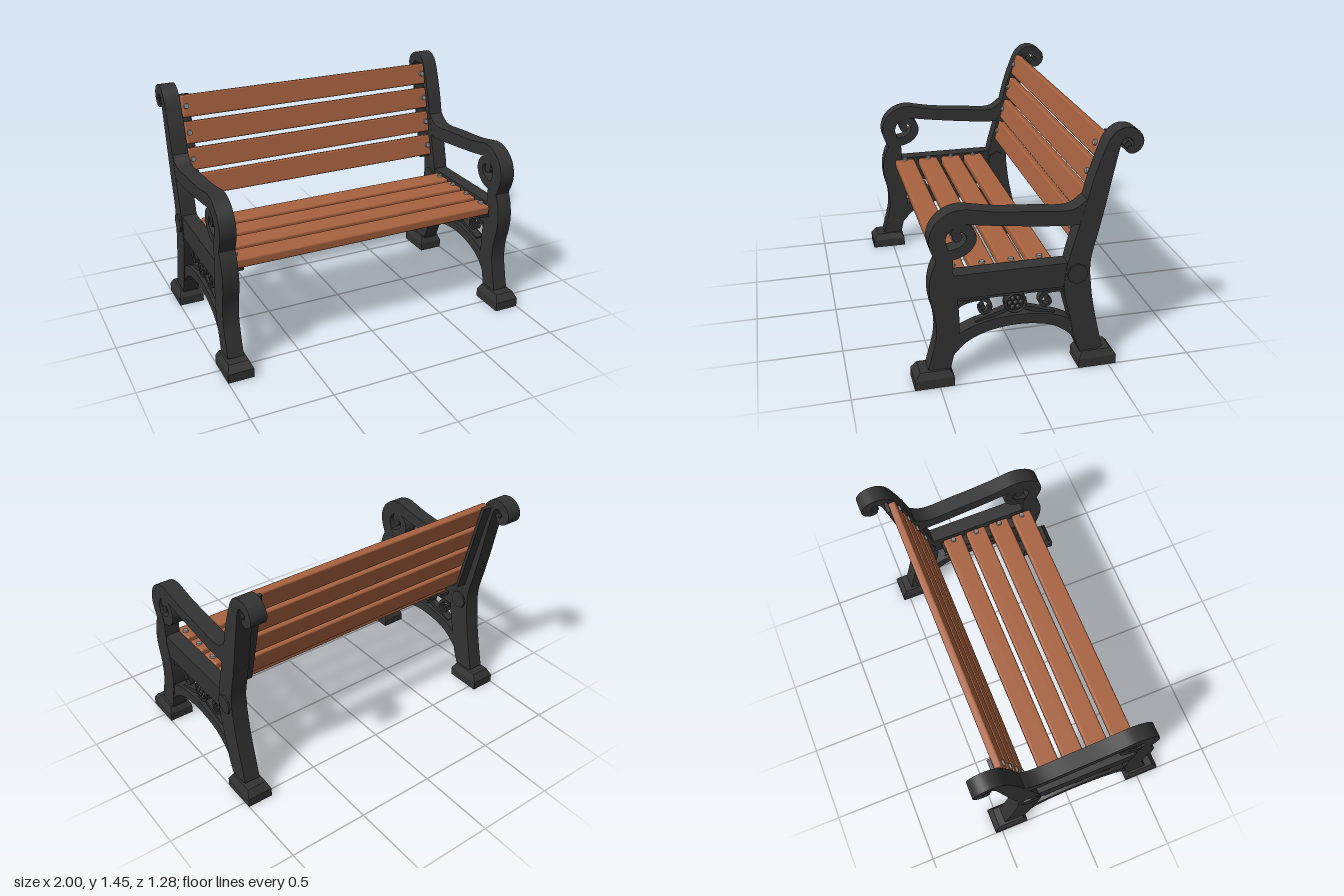
import * as THREE from 'three';
import { toCreasedNormals } from 'three/addons/utils/BufferGeometryUtils.js';
import { RoundedBoxGeometry } from 'three/addons/geometries/RoundedBoxGeometry.js';

const iron = new THREE.MeshStandardMaterial({ color: 0x333333 });
iron.name = 'cast iron';
const wood = new THREE.MeshStandardMaterial({ color: 0xa8623f });
wood.name = 'oiled wood';
const steel = new THREE.MeshStandardMaterial({ color: 0x8c8f92 });
steel.name = 'steel bolt';

function add(parent, name, geometry, material, x = 0, y = 0, z = 0) {
  const mesh = new THREE.Mesh(geometry, material);
  mesh.name = name;
  mesh.position.set(x, y, z);
  parent.add(mesh);
  return mesh;
}

// Bar of varying width along a curve in the z-y plane; points are [z, y, halfWidth]
function ribbon(points, depth, perPoint = 3) {
  const curve = new THREE.CatmullRomCurve3(points.map(p => new THREE.Vector3(...p)), false, 'centripetal');
  const n = (points.length - 1) * perPoint;
  const left = [], right = [];
  for (let i = 0; i <= n; i++) {
    const p = curve.getPoint(i / n);
    const t = curve.getTangent(i / n);
    const len = Math.hypot(t.x, t.y);
    const nx = -t.y / len * p.z, ny = t.x / len * p.z;
    left.push(new THREE.Vector2(p.x + nx, p.y + ny));
    right.unshift(new THREE.Vector2(p.x - nx, p.y - ny));
  }
  const geo = new THREE.ExtrudeGeometry(new THREE.Shape([...left, ...right]), { depth, bevelEnabled: false });
  geo.translate(0, 0, -depth / 2).rotateY(-Math.PI / 2);
  return toCreasedNormals(geo, 0.45);
}

// Disc whose axis runs along x
function disc(radius, depth, sides) {
  return toCreasedNormals(new THREE.CylinderGeometry(radius, radius, depth, sides).rotateZ(Math.PI / 2), 0.6);
}

// Box narrowed at the top
function taperedBox(w, h, d, topW, topD, topShift) {
  const geo = new THREE.BoxGeometry(w, h, d).toNonIndexed();
  const p = geo.attributes.position;
  for (let i = 0; i < p.count; i++) {
    if (p.getY(i) > 0) p.setXYZ(i, p.getX(i) * topW / w, h / 2, p.getZ(i) * topD / d + topShift);
  }
  geo.computeVertexNormals();
  return geo;
}

function createFrame() {
  const frame = new THREE.Group();

  // Front leg sweeping up into the armrest
  add(frame, 'frontLegAndArmrest', ribbon([
    [0.5, 0.09, 0.063], [0.472, 0.2, 0.062], [0.447, 0.31, 0.064], [0.448, 0.435, 0.067],
    [0.465, 0.54, 0.074], [0.477, 0.62, 0.068], [0.47, 0.7, 0.06], [0.458, 0.775, 0.046],
    [0.484, 0.84, 0.045], [0.496, 0.9, 0.046], [0.472, 0.965, 0.046], [0.42, 1.008, 0.045],
    [0.36, 1.024, 0.043], [0.3, 1.015, 0.042], [0.18, 0.995, 0.04], [-0.05, 0.971, 0.044],
    [-0.23, 0.955, 0.045], [-0.3, 0.965, 0.054], [-0.36, 0.99, 0.07]], 0.098), iron);
  add(frame, 'armrestScroll', ribbon([
    [0.47, 0.8, 0.03], [0.385, 0.812, 0.03], [0.335, 0.84, 0.029], [0.308, 0.885, 0.028],
    [0.318, 0.93, 0.027], [0.355, 0.957, 0.025], [0.393, 0.947, 0.021], [0.407, 0.917, 0.016]], 0.094), iron);
  add(frame, 'armrestScrollTip', disc(0.029, 0.09, 10), iron, 0, 0.907, 0.386);
  add(frame, 'postFillet', new THREE.BoxGeometry(0.09, 0.14, 0.06), iron, 0, 0.72, 0.44);

  // Back leg rising into the backrest post and its rear scroll
  add(frame, 'backLegAndPost', ribbon([
    [-0.405, 0.09, 0.065], [-0.368, 0.2, 0.074], [-0.337, 0.34, 0.073], [-0.312, 0.45, 0.077],
    [-0.3, 0.53, 0.079], [-0.3, 0.63, 0.07], [-0.312, 0.72, 0.063], [-0.347, 0.86, 0.06],
    [-0.383, 1.01, 0.056], [-0.417, 1.165, 0.052], [-0.453, 1.3, 0.043], [-0.478, 1.375, 0.036],
    [-0.505, 1.409, 0.032], [-0.545, 1.42, 0.03], [-0.588, 1.403, 0.03], [-0.61, 1.365, 0.029],
    [-0.6, 1.334, 0.026], [-0.57, 1.32, 0.022], [-0.547, 1.332, 0.016]], 0.1), iron);
  add(frame, 'postScrollTip', disc(0.021, 0.092, 10), iron, 0, 1.347, -0.549);

  // Seat rail, thin bar and arch between the legs
  add(frame, 'seatRail', new THREE.BoxGeometry(0.092, 0.147, 0.7), iron, 0, 0.606, 0.1);
  add(frame, 'trimBar', new THREE.BoxGeometry(0.06, 0.014, 0.68), iron, 0, 0.517, 0.08);
  add(frame, 'legArch', ribbon([
    [0.44, 0.2, 0.035], [0.37, 0.275, 0.037], [0.27, 0.325, 0.034], [0.16, 0.35, 0.032],
    [0.05, 0.358, 0.031], [-0.06, 0.35, 0.032], [-0.17, 0.325, 0.034], [-0.26, 0.275, 0.037],
    [-0.34, 0.19, 0.035]], 0.088), iron);
  add(frame, 'seatPivot', disc(0.061, 0.122, 8), iron, 0, 0.61, -0.295);

  // Feet
  for (const [side, z, top] of [['front', 0.53, -0.005], ['back', -0.432, 0.005]]) {
    add(frame, side + 'FootBase', new THREE.BoxGeometry(0.16, 0.057, 0.228), iron, 0, 0.0285, z);
    add(frame, side + 'FootTop', taperedBox(0.16, 0.043, 0.228, 0.125, 0.17, top), iron, 0, 0.0785, z);
  }

  // Ornament under the rail: rosette, two scrolls and two stems
  const mid = 0.052;
  add(frame, 'rosette', disc(0.062, 0.04, 14), iron, 0, 0.455, mid);
  const rim = new THREE.TorusGeometry(0.058, 0.008, 6, 16).rotateY(Math.PI / 2);
  for (const side of [1, -1]) {
    add(frame, 'rosetteRim', rim, iron, side * 0.02, 0.455, mid);
    for (let i = 0; i < 7; i++) {
      const r = i ? 0.032 : 0, a = i * Math.PI / 3;
      const petal = add(frame, 'rosettePetal', new THREE.SphereGeometry(0.015, 8, 6), iron,
        side * 0.02, 0.455 + r * Math.sin(a), mid + r * Math.cos(a));
      petal.scale.x = 0.7;
    }
    const flip = pts => pts.map(([dz, y, w]) => [mid + side * dz, y, w]);
    add(frame, 'ornamentScroll', ribbon(flip([
      [0.345, 0.455, 0.009], [0.315, 0.482, 0.01], [0.265, 0.5, 0.011], [0.205, 0.503, 0.011],
      [0.16, 0.485, 0.011], [0.144, 0.45, 0.01], [0.157, 0.42, 0.01], [0.184, 0.413, 0.009],
      [0.205, 0.43, 0.008], [0.202, 0.452, 0.007]]), 0.045), iron);
    add(frame, 'ornamentScrollTip', disc(0.016, 0.045, 8), iron, 0, 0.449, mid + side * 0.189);
    add(frame, 'ornamentStem', ribbon(flip([
      [0.03, 0.425, 0.01], [0.1, 0.4, 0.012], [0.16, 0.38, 0.012], [0.23, 0.355, 0.012]]), 0.045), iron);
  }
  return frame;
}

export function createModel() {
  const bench = new THREE.Group();
  bench.name = 'parkBench';
  const boltGeo = new THREE.CylinderGeometry(0.016, 0.019, 0.014, 8);

  // Seat slats with a bolt at each end
  const seat = new THREE.Group();
  seat.name = 'seat';
  bench.add(seat);
  for (const z of [0.39, 0.222, 0.055, -0.11]) {
    add(seat, 'seatSlat', new RoundedBoxGeometry(1.73, 0.06, 0.137, 2, 0.014), wood, 0, 0.646, z);
    for (const x of [-0.84, 0.84]) add(seat, 'seatBolt', boltGeo, steel, x, 0.68, z);
  }

  // Backrest slats, leaning back as one panel
  const back = new THREE.Group();
  back.name = 'backrest';
  back.position.set(0, 1.083, -0.376);
  back.rotation.x = -Math.atan(0.246);
  bench.add(back);
  for (let i = 0; i < 4; i++) {
    const y = (i - 1.5) * 0.1665;
    add(back, 'backSlat', new RoundedBoxGeometry(1.73, 0.14, 0.045, 2, 0.01), wood, 0, y, 0);
    for (const x of [-0.84, 0.84]) {
      add(back, 'backBolt', boltGeo, steel, x, y, 0.027).rotation.x = Math.PI / 2;
    }
  }

  // Cast side frames and the brackets carrying the slats
  for (const side of [1, -1]) {
    const frame = createFrame();
    frame.name = side > 0 ? 'leftFrame' : 'rightFrame';
    frame.position.x = side * 0.921;
    bench.add(frame);
    add(bench, 'seatBracket', new THREE.BoxGeometry(0.075, 0.024, 0.63), iron, side * 0.842, 0.605, 0.125);
    add(back, 'backBracket', new THREE.BoxGeometry(0.075, 0.66, 0.022), iron, side * 0.842, -0.005, -0.03);
  }
  return bench;
}
